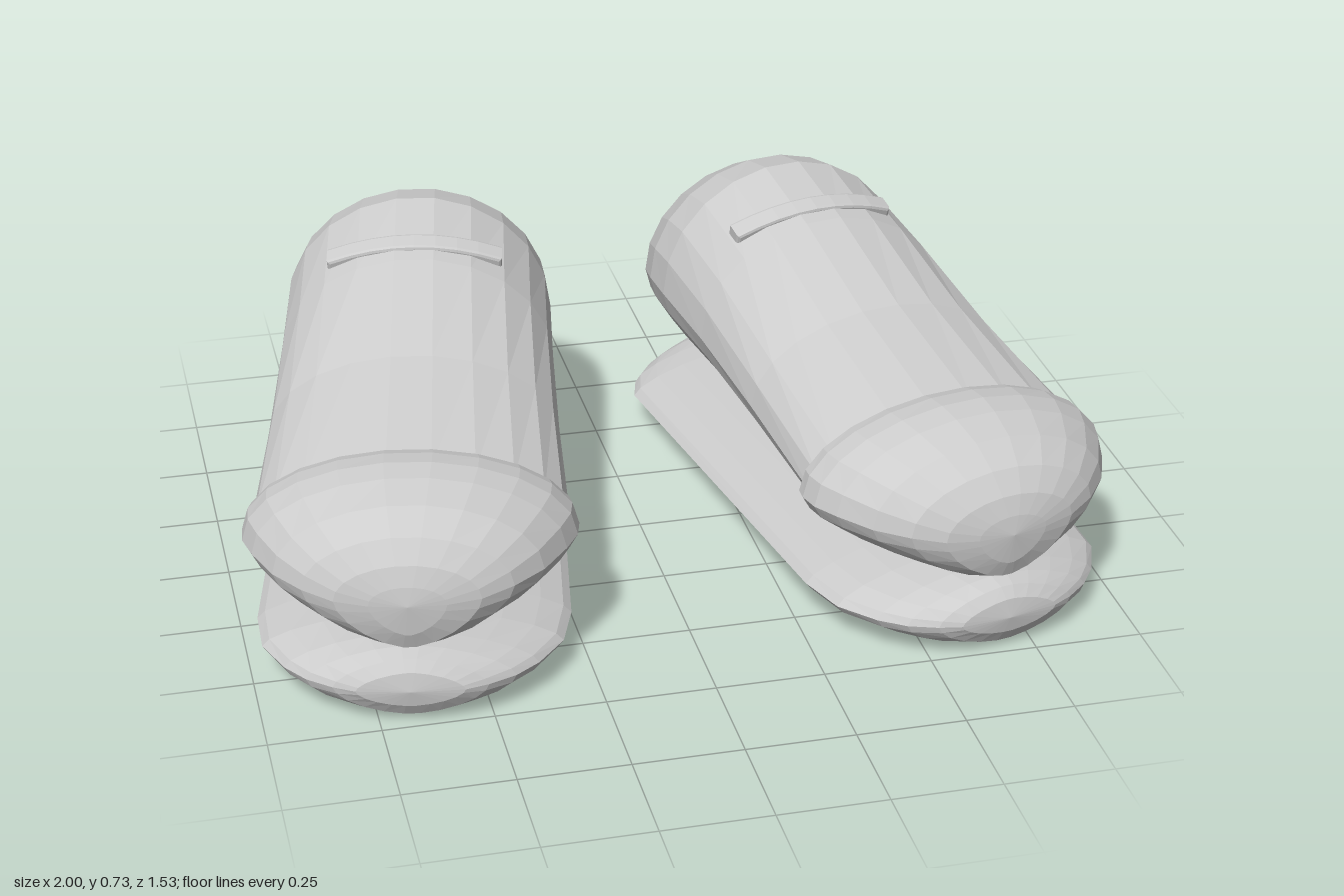
import * as THREE from 'three';

const grey = new THREE.MeshStandardMaterial({ color: 0xcccccc, flatShading: true });
grey.name = 'light grey';

// Closed loft along z. Station: [z, half width, bottom, widest height, top].
// The powers set how round the upper and lower halves of each section are.
function loft(stations, topPower, bottomPower, sides = 22) {
  const pos = [], index = [];
  for (const [z, hw, bottom, mid, top] of stations) {
    for (let j = 0; j < sides; j++) {
      const a = (j / sides) * Math.PI * 2;
      const c = Math.cos(a), s = Math.sin(a);
      const e = 2 / (s >= 0 ? topPower : bottomPower);
      const h = s >= 0 ? top - mid : mid - bottom;
      pos.push(hw * Math.sign(c) * Math.abs(c) ** e, mid + h * Math.sign(s) * Math.abs(s) ** e, z);
    }
  }
  const n = stations.length;
  for (let i = 0; i < n - 1; i++) {
    for (let j = 0; j < sides; j++) {
      const k = (j + 1) % sides;
      const a = i * sides + j, b = i * sides + k;
      index.push(a, b, b + sides, a, b + sides, a + sides);
    }
  }
  // End caps
  const first = stations[0], last = stations[n - 1];
  const c0 = n * sides, c1 = c0 + 1, end = (n - 1) * sides;
  pos.push(0, first[3], first[0] - 0.008, 0, last[3], last[0] + 0.008);
  for (let j = 0; j < sides; j++) {
    const k = (j + 1) % sides;
    index.push(c0, k, j, c1, end + j, end + k);
  }
  const g = new THREE.BufferGeometry();
  g.setAttribute('position', new THREE.Float32BufferAttribute(pos, 3));
  g.setIndex(index);
  g.computeVertexNormals();
  return g;
}

// Lens-shaped sole with blunt rounded ends
const soleGeometry = loft([
  [-0.75, 0.14, 0.05, 0.09, 0.135],
  [-0.735, 0.19, 0.018, 0.09, 0.16],
  [-0.70, 0.25, 0.003, 0.088, 0.17],
  [-0.65, 0.3, 0, 0.088, 0.174],
  [-0.58, 0.334, 0, 0.088, 0.175],
  [0.44, 0.354, 0, 0.088, 0.175],
  [0.56, 0.335, 0, 0.088, 0.175],
  [0.65, 0.28, 0, 0.088, 0.174],
  [0.70, 0.23, 0.003, 0.088, 0.17],
  [0.738, 0.17, 0.018, 0.09, 0.16],
  [0.757, 0.12, 0.05, 0.09, 0.135],
], 1.6, 1.7);

// Rounded upper, tall at the heel and sloping down to the toe
const upperGeometry = loft([
  [-0.735, 0.11, 0.22, 0.33, 0.43],
  [-0.715, 0.18, 0.175, 0.36, 0.53],
  [-0.68, 0.24, 0.165, 0.39, 0.605],
  [-0.62, 0.285, 0.165, 0.42, 0.67],
  [-0.53, 0.312, 0.165, 0.44, 0.715],
  [-0.43, 0.322, 0.165, 0.44, 0.735],
  [-0.2, 0.325, 0.165, 0.42, 0.677],
  [0.1, 0.335, 0.165, 0.38, 0.573],
  [0.46, 0.355, 0.17, 0.33, 0.485],
], 2, 1.6);

// Toe cap with a small raised lip at its back edge
const capGeometry = loft([
  [0.415, 0.35, 0.175, 0.325, 0.475],
  [0.418, 0.367, 0.165, 0.325, 0.502],
  [0.45, 0.374, 0.165, 0.325, 0.511],
  [0.5, 0.37, 0.165, 0.325, 0.515],
  [0.56, 0.345, 0.165, 0.325, 0.508],
  [0.64, 0.295, 0.165, 0.32, 0.485],
  [0.7, 0.23, 0.168, 0.315, 0.44],
  [0.735, 0.16, 0.185, 0.305, 0.39],
  [0.75, 0.085, 0.225, 0.3, 0.345],
], 2, 1.6);

// Thin bar arched across the instep
function strapGeometry() {
  const shape = new THREE.Shape();
  const steps = 8, half = 0.2;
  const arch = x => -1.05 * x * x;
  for (let i = 0; i <= steps; i++) {
    const x = -half + (2 * half * i) / steps;
    if (i === 0) shape.moveTo(x, arch(x) - 0.015);
    else shape.lineTo(x, arch(x) - 0.015);
  }
  for (let i = steps; i >= 0; i--) {
    const x = -half + (2 * half * i) / steps;
    shape.lineTo(x, arch(x));
  }
  shape.closePath();
  return new THREE.ExtrudeGeometry(shape, {
    depth: 0.036, bevelEnabled: true, bevelThickness: 0.008, bevelSize: 0.008, bevelSegments: 2,
  }).translate(0, 0, -0.018);
}

function addPart(group, name, geometry) {
  const mesh = new THREE.Mesh(geometry, grey);
  mesh.name = name;
  group.add(mesh);
  return mesh;
}

function createShoe(side) {
  const shoe = new THREE.Group();
  shoe.name = side > 0 ? 'leftShoe' : 'rightShoe';
  addPart(shoe, 'sole', soleGeometry);
  addPart(shoe, 'upper', upperGeometry);
  addPart(shoe, 'toeCap', capGeometry);
  const strap = addPart(shoe, 'strap', strapGeometry());
  strap.position.set(0, 0.692, -0.26);
  strap.rotation.x = 0.28;
  // Toes point outward
  shoe.position.x = side * 0.54;
  shoe.rotation.y = side * 0.19;
  return shoe;
}

export function createModel() {
  const model = new THREE.Group();
  model.name = 'pairOfShoes';
  for (const side of [1, -1]) model.add(createShoe(side));
  return model;
}
